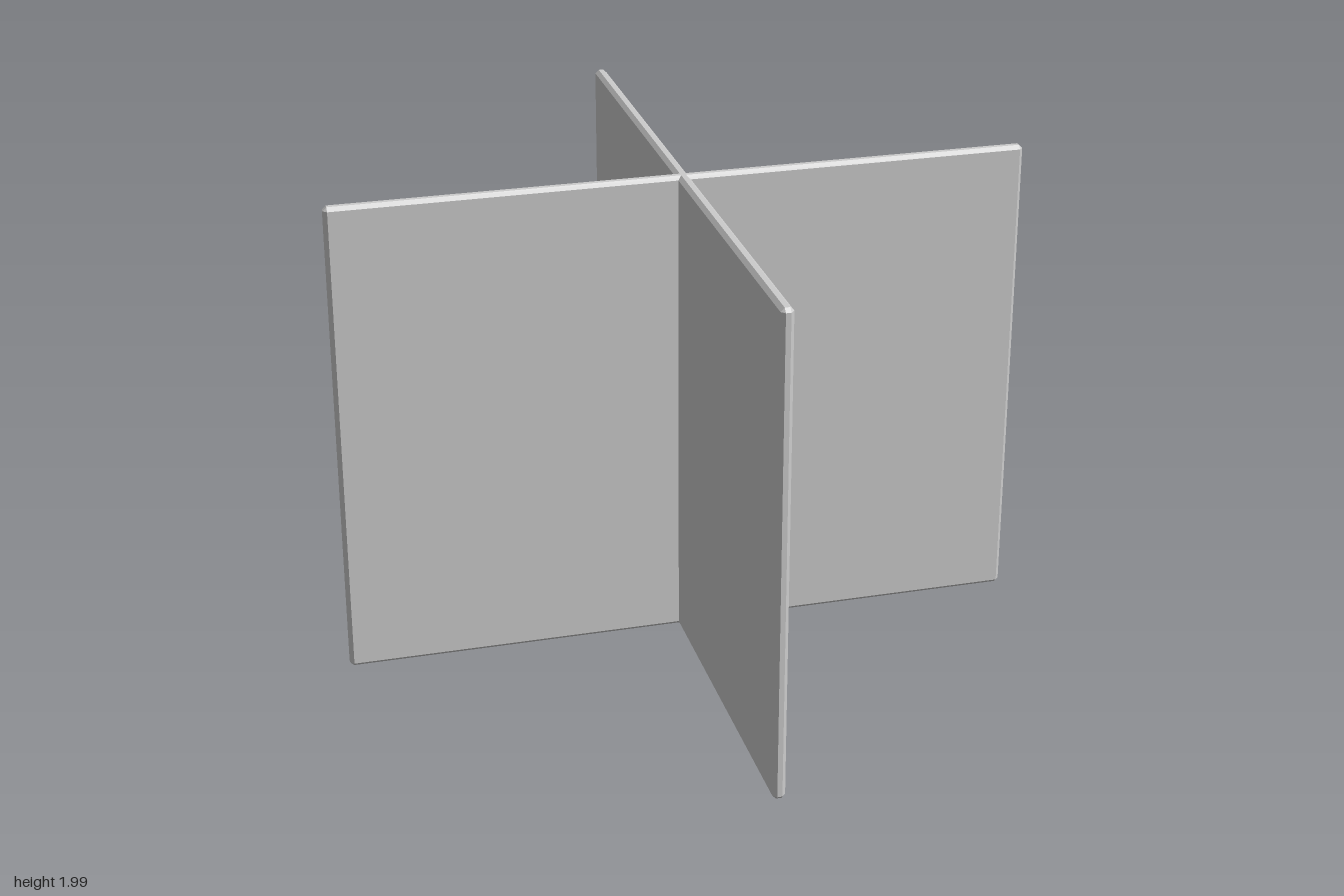
import * as THREE from 'three';
import { ConvexGeometry } from 'three/addons/geometries/ConvexGeometry.js';

// Box with every edge cut by a flat chamfer c
function chamferedBox(w, h, d, c) {
  const points = [];
  for (const x of [-w / 2, w / 2])
    for (const y of [-h / 2, h / 2])
      for (const z of [-d / 2, d / 2]) {
        const ix = x - Math.sign(x) * c, iy = y - Math.sign(y) * c, iz = z - Math.sign(z) * c;
        points.push(
          new THREE.Vector3(x, iy, iz),
          new THREE.Vector3(ix, y, iz),
          new THREE.Vector3(ix, iy, z)
        );
      }
  return new ConvexGeometry(points);
}

export function createModel() {
  const model = new THREE.Group();
  model.name = 'crossedPanels';
  const material = new THREE.MeshStandardMaterial({ color: 0xcccccc, flatShading: true });

  const height = 1.985, thickness = 0.05, chamfer = 0.015;
  // Length that brings the chamfered diagonal ends to x, z = +-1
  const length = 2 * (Math.SQRT2 - thickness / 2 + chamfer);
  const geometry = chamferedBox(length, height, thickness, chamfer);

  // Two upright panels crossing at right angles on the diagonals
  for (const [name, turn] of [['panelA', Math.PI / 4], ['panelB', -Math.PI / 4]]) {
    const panel = new THREE.Mesh(geometry, material);
    panel.name = name;
    panel.position.y = height / 2;
    panel.rotation.y = turn;
    model.add(panel);
  }
  return model;
}
